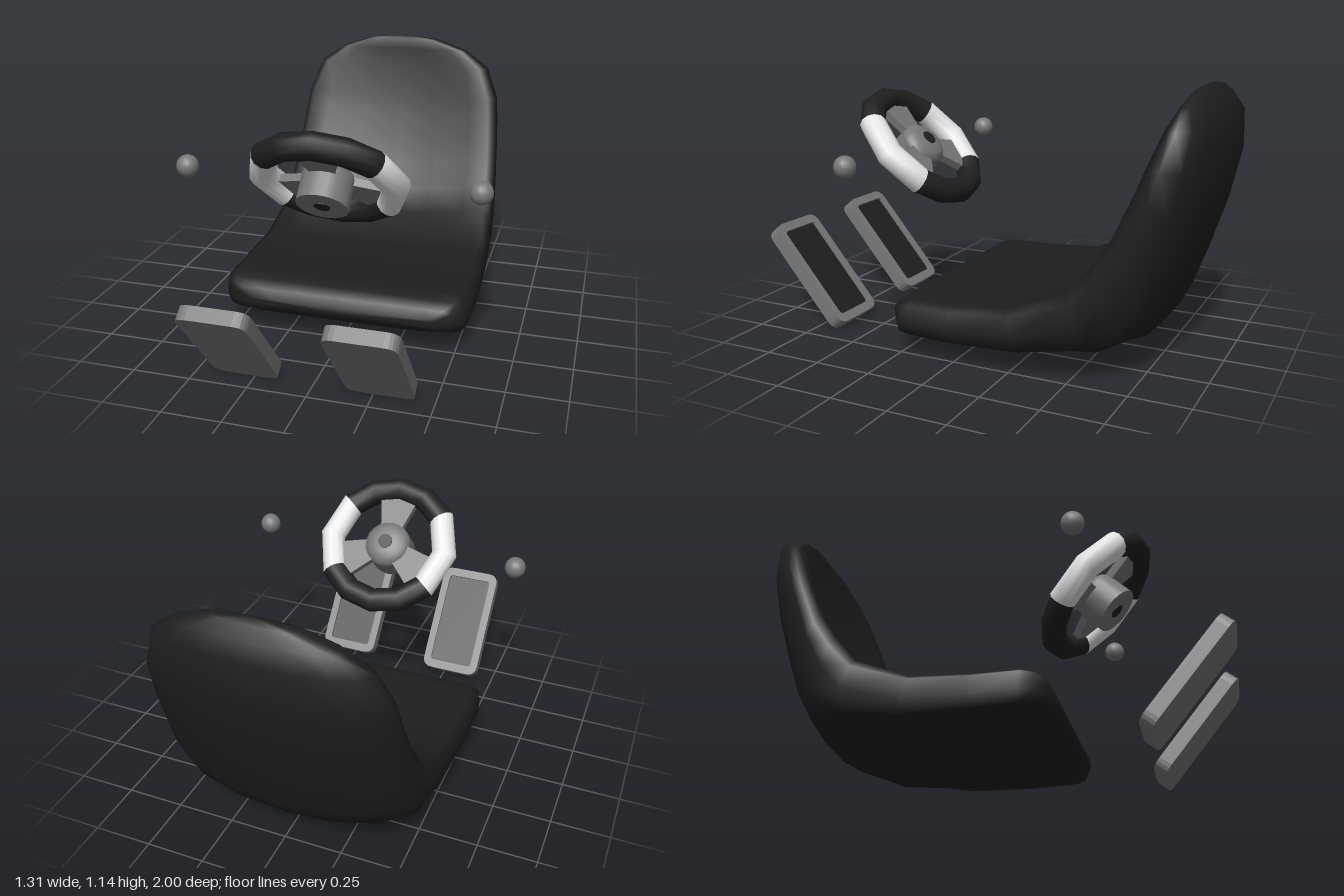
import * as THREE from 'three';

const mat = (name, color) => Object.assign(new THREE.MeshStandardMaterial({ color }), { name });
const rad = THREE.MathUtils.degToRad;

// Seat stations from the front lip to the top of the back:
// upper z, y, lower z, y, half width, dish depth (share of thickness), roundness of the outer side edges
const STATIONS = [
  [0.308, 0.17, 0.308, 0.13, 0.42, 0, 0],
  [0.29, 0.21, 0.275, 0.095, 0.49, 0, 0],
  [0.25, 0.238, 0.24, 0.085, 0.54, 0, 0],
  [0.19, 0.25, 0.18, 0.082, 0.553, 0.02, 0],
  [0.00, 0.25, 0.00, 0.077, 0.555, 0.07, 0],
  [-0.25, 0.27, -0.30, 0.072, 0.545, 0.12, 0.15],
  [-0.49, 0.37, -0.60, 0.078, 0.535, 0.17, 0.5],
  [-0.58, 0.48, -0.73, 0.12, 0.53, 0.18, 0.8],
  [-0.66, 0.60, -0.81, 0.23, 0.52, 0.18, 0.95],
  [-0.70, 0.69, -0.88, 0.42, 0.512, 0.19, 1],
  [-0.74, 0.78, -0.95, 0.64, 0.502, 0.2, 1],
  [-0.77, 0.86, -1.00, 0.86, 0.49, 0.2, 1],
  [-0.82, 1.00, -0.99, 1.01, 0.43, 0.18, 0.9],
  [-0.85, 1.08, -0.95, 1.075, 0.32, 0.1, 0.6],
  [-0.868, 1.13, -0.92, 1.125, 0.17, 0, 0.3],
];

function seatGeometry() {
  const pos = [], index = [];
  for (const [tz, ty, bz, by, w, d, k] of STATIONS) {
    // half ring: share of half width, share of the way from lower to upper
    const half = [[0, 1 - d], [0.4, 1 - 0.8 * d], [0.74, 1 - 0.25 * d], [0.92, 0.99], [0.985, 0.87],
      [1, 0.4 + 0.32 * k], [0.97 - 0.05 * k, 0.12 + 0.28 * k], [0.74, 0.02 + 0.17 * k],
      [0.4, 0.05 * k], [0, 0]];
    const ring = [...half, ...half.slice(1, -1).reverse().map(([x, f]) => [-x, f])];
    for (const [x, f] of ring) pos.push(x * w, by + (ty - by) * f, bz + (tz - bz) * f);
  }
  const n = 18, rows = STATIONS.length;
  for (let r = 0; r < rows - 1; r++) {
    for (let i = 0; i < n; i++) {
      const a = r * n + i, b = r * n + (i + 1) % n;
      index.push(a, b, a + n, b, b + n, a + n);
    }
  }
  // closed lip and rounded top
  const front = rows * n, top = front + 1;
  pos.push(0, 0.15, 0.312, 0, 1.143, -0.892);
  for (let i = 0; i < n; i++) {
    const j = (i + 1) % n, last = (rows - 1) * n;
    index.push(front, j, i, top, last + i, last + j);
  }
  const g = new THREE.BufferGeometry();
  g.setAttribute('position', new THREE.Float32BufferAttribute(pos, 3));
  g.setIndex(index);
  g.computeVertexNormals();
  return g;
}

function roundedRect(w, h, r, Type = THREE.Shape) {
  const s = new Type(), x = w / 2, y = h / 2;
  s.moveTo(-x + r, -y);
  s.lineTo(x - r, -y).quadraticCurveTo(x, -y, x, -y + r);
  s.lineTo(x, y - r).quadraticCurveTo(x, y, x - r, y);
  s.lineTo(-x + r, y).quadraticCurveTo(-x, y, -x, y - r);
  s.lineTo(-x, -y + r).quadraticCurveTo(-x, -y, -x + r, -y);
  return s;
}

const extrude = (shape, depth, z) =>
  new THREE.ExtrudeGeometry(shape, { depth, bevelEnabled: false, curveSegments: 5 }).translate(0, 0, z);

export function createModel() {
  const upholstery = mat('upholstery', 0x1e1e1e);
  const rubber = mat('black rubber', 0x1f1f1f);
  const grey = mat('grey metal', 0x777777);
  const white = mat('white grip', 0xe4e4e4);

  const model = new THREE.Group();
  model.name = 'drivingSeat';
  const add = (parent, name, geometry, material) => {
    const mesh = new THREE.Mesh(geometry, material);
    mesh.name = name;
    parent.add(mesh);
    return mesh;
  };

  add(model, 'seat', seatGeometry(), upholstery);

  // Steering wheel: local y points to the driver
  const wheel = new THREE.Group();
  wheel.name = 'steeringWheel';
  wheel.position.set(0, 0.798, 0.427);
  wheel.rotation.x = -Math.PI / 4;
  model.add(wheel);
  const flat = new THREE.Group();
  flat.name = 'rimAndSpokes';
  flat.rotation.x = Math.PI / 2; // local y points to the top of the wheel
  wheel.add(flat);

  // Rim in four arcs: start angle, sweep, segments
  const arcs = [['leftGrip', -37, 74, 2, 0.058, white], ['upperRim', 37, 106, 4, 0.056, rubber],
    ['rightGrip', 143, 74, 2, 0.058, white], ['lowerRim', 217, 106, 4, 0.056, rubber]];
  for (const [name, start, sweep, segments, r, m] of arcs) {
    add(flat, name, new THREE.TorusGeometry(0.276, r, 12, segments, rad(sweep)).rotateZ(rad(start)), m);
  }

  // Three spokes that widen towards the rim
  const spokeShape = new THREE.Shape([[-0.045, 0.06], [0.045, 0.06], [0.1, 0.262], [-0.1, 0.262]]
    .map(([x, y]) => new THREE.Vector2(x, y)));
  for (let i = 0; i < 3; i++) {
    add(flat, 'spoke', extrude(spokeShape, 0.035, -0.0175), grey).rotation.z = i * Math.PI * 2 / 3;
  }

  // Hub drum, domed cap and dark centres on both ends
  add(wheel, 'hub', new THREE.CylinderGeometry(0.107, 0.107, 0.125, 20).translate(0, -0.0575, 0), grey);
  const dome = [[0.107, 0.005], [0.1, 0.025], [0.08, 0.042], [0.05, 0.05], [0, 0.052]];
  add(wheel, 'hubCap', new THREE.LatheGeometry(dome.map(([x, y]) => new THREE.Vector2(x, y)), 20), grey);
  add(wheel, 'hubCentre', new THREE.CylinderGeometry(0.033, 0.033, 0.006, 16).translate(0, 0.052, 0), rubber);
  add(wheel, 'hubEnd', new THREE.CylinderGeometry(0.033, 0.033, 0.004, 16).translate(0, -0.121, 0), rubber);

  // Pedals with a raised frame around a rubber pad, and a knob at each side
  const frame = roundedRect(0.283, 0.537, 0.05);
  frame.holes.push(roundedRect(0.212, 0.455, 0.02, THREE.Path));
  for (const [side, s] of [['left', 1], ['right', -1]]) {
    const pedal = new THREE.Group();
    pedal.name = side + 'Pedal';
    pedal.position.set(s * 0.282, 0.225, 0.805);
    pedal.rotation.x = rad(40);
    model.add(pedal);
    add(pedal, 'pedalPlate', extrude(roundedRect(0.283, 0.537, 0.05), 0.03, 0), grey);
    add(pedal, 'pedalFrame', extrude(frame, 0.03, -0.03), grey);
    add(pedal, 'pedalPad', extrude(roundedRect(0.212, 0.455, 0.02), 0.018, -0.018), rubber);

    add(model, side + 'Knob', new THREE.SphereGeometry(0.047, 16, 12), grey)
      .position.set(s * 0.608, 0.8, 0.425);
  }
  return model;
}
